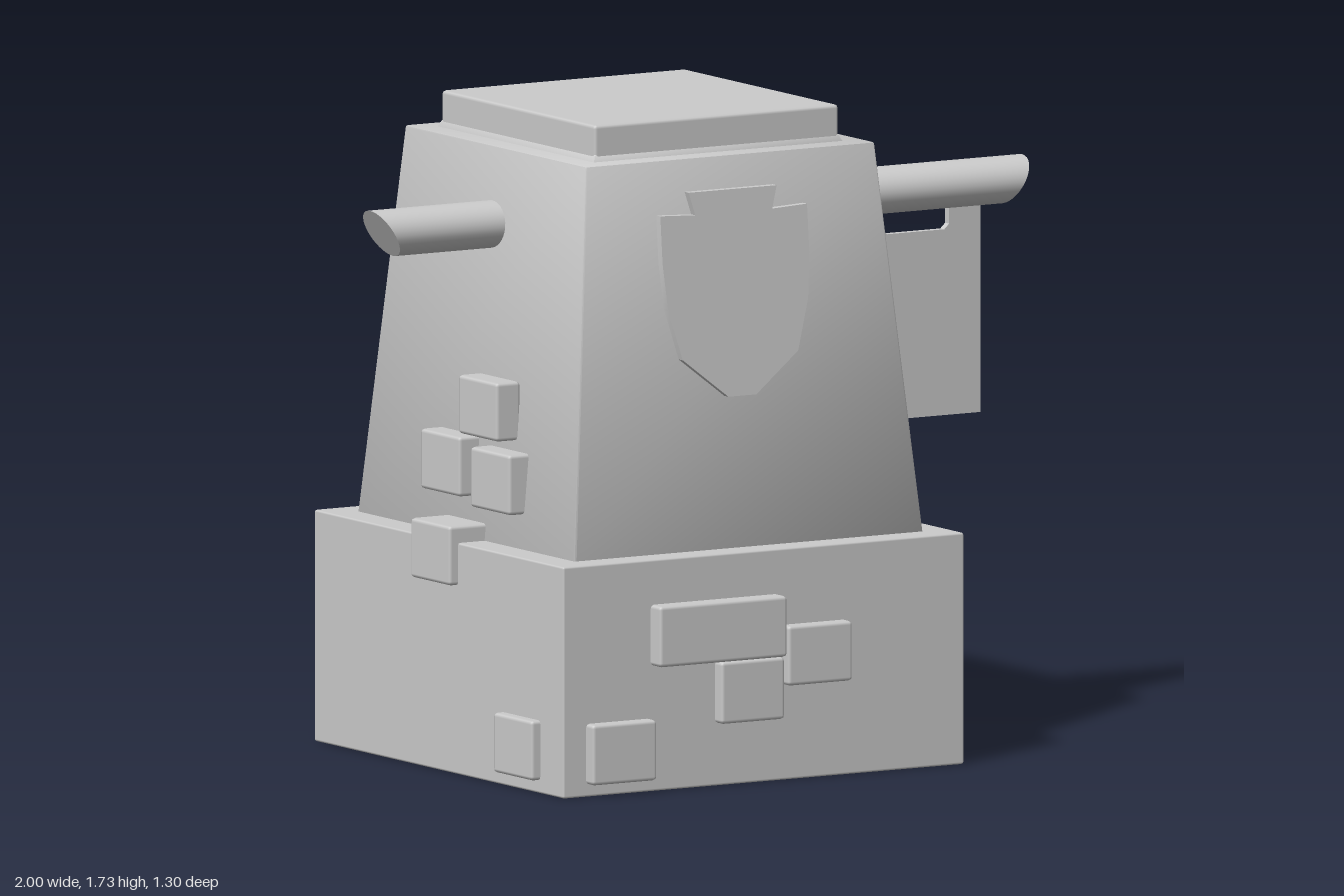
import * as THREE from 'three';
import { RoundedBoxGeometry } from 'three/addons/geometries/RoundedBoxGeometry.js';
import { toCreasedNormals } from 'three/addons/utils/BufferGeometryUtils.js';

const grey = new THREE.MeshStandardMaterial({ color: 0xcccccc });

// Move every vertex by a rule, then rebuild crisp normals
function reshape(geo, rule) {
  const p = geo.attributes.position;
  const v = new THREE.Vector3();
  for (let i = 0; i < p.count; i++) {
    v.fromBufferAttribute(p, i);
    rule(v);
    p.setXYZ(i, v.x, v.y, v.z);
  }
  return toCreasedNormals(geo, 0.6);
}

export function createModel() {
  const tower = new THREE.Group();
  tower.name = 'tower';

  const add = (name, geo, parent = tower) => {
    const mesh = new THREE.Mesh(geo, grey);
    mesh.name = name;
    parent.add(mesh);
    return mesh;
  };

  // Bevelled block between two corners
  const block = (name, x0, x1, y0, y1, z0, z1, parent = tower, bevel = 0.01) => {
    const geo = new RoundedBoxGeometry(x1 - x0, y1 - y0, z1 - z0, 1, bevel);
    add(name, geo, parent).position.set((x0 + x1) / 2, (y0 + y1) / 2, (z0 + z1) / 2);
  };

  // Block tapering from a bottom rectangle to a top one, each [x0, x1, z0, z1]
  const taper = (name, bottom, top, y0, y1, bevel) => {
    const geo = reshape(new RoundedBoxGeometry(1, y1 - y0, 1, 1, bevel), (v) => {
      v.y += (y0 + y1) / 2;
      const t = (v.y - y0) / (y1 - y0);
      const [x0, x1, z0, z1] = bottom.map((b, i) => b + (top[i] - b) * t);
      v.x = x0 + (x1 - x0) * (v.x + 0.5);
      v.z = z0 + (z1 - z0) * (v.z + 0.5);
    });
    add(name, geo);
  };

  // Masonry body
  block('base', -0.785, 0.445, 0, 0.612, -0.65, 0.6, tower, 0.006);
  taper('shaft', [-0.705, 0.367, -0.565, 0.525], [-0.612, 0.273, -0.475, 0.432], 0.6, 1.637, 0.006);
  taper('capSkirt', [-0.555, 0.215, -0.415, 0.375], [-0.543, 0.203, -0.403, 0.363], 1.63, 1.655, 0.002);
  block('cap', -0.545, 0.205, 1.63, 1.733, -0.405, 0.365);

  // Protruding bricks, grouped by wall
  const bricks = new THREE.Group();
  bricks.name = 'bricks';
  tower.add(bricks);

  // Front wall: x0, x1, y0, y1, outer z
  [
    [-0.517, -0.125, 0.332, 0.493, 0.648],
    [-0.115, 0.083, 0.252, 0.41, 0.635],
    [-0.32, -0.125, 0.166, 0.33, 0.635],
    [-0.715, -0.517, 0.033, 0.193, 0.635],
  ].forEach(([x0, x1, y0, y1, z]) => block('frontBrick', x0, x1, y0, y1, 0.56, z, bricks));

  // Left wall: z0, z1, y0, y1, outer x, depth
  [
    [0.085, 0.283, 0.89, 1.048, 0.394, 0.07],
    [0.07, 0.27, 0.703, 0.862, 0.394, 0.07],
    [-0.343, 0.053, 0.768, 0.926, 0.405, 0.07],
    [-0.122, 0.076, 0.5, 0.657, 0.47, 0.13],
    [0.295, 0.49, 0.035, 0.193, 0.47, 0.06],
    [-0.19, 0.008, 0.035, 0.193, 0.47, 0.06],
  ].forEach(([z0, z1, y0, y1, x, d]) => block('leftBrick', x - d, x, y0, y1, z0, z1, bricks));

  // Right wall: z0, z1, y0, y1, outer x, depth
  [
    [0, 0.195, 0.89, 1.045, -0.742, 0.075],
    [0.06, 0.258, 0.703, 0.862, -0.742, 0.075],
    [-0.19, 0.008, 0.722, 0.88, -0.742, 0.075],
    [-0.125, 0.073, 0.5, 0.657, -0.812, 0.13],
    [0.29, 0.485, 0.035, 0.193, -0.812, 0.06],
  ].forEach(([z0, z1, y0, y1, x, d]) => block('rightBrick', x, x + d, y0, y1, z0, z1, bricks));

  // Shield plate leaning with the front wall
  const half = [[0.135, 1.55], [0.118, 1.49], [0.225, 1.495], [0.225, 1.37], [0.215, 1.25], [0.177, 1.115], [0.043, 1.01]];
  const outline = [...half, ...half.map(([x, y]) => [-x, y]).reverse()];
  const shield = new THREE.Shape(outline.map(([x, y]) => new THREE.Vector2(x - 0.18, y)));
  const shieldGeo = new THREE.ExtrudeGeometry(shield, { depth: 0.03, bevelEnabled: false });
  add('shield', reshape(shieldGeo, (v) => {
    v.z += 0.515 - 0.09 * (v.y - 0.612);
  }));

  // Cross pole, slightly oval, with ends cut on a slant
  const poleGeo = new THREE.CylinderGeometry(1, 1, 2, 32).rotateZ(-Math.PI / 2);
  add('pole', reshape(poleGeo, (v) => {
    v.x = Math.sign(v.x) * (0.965 + 0.035 * v.y);
    v.y = 1.433 + 0.062 * v.y;
    v.z = -0.017 + 0.073 * v.z;
  }));

  // Hanging banner with a notch between its two straps
  const banner = new THREE.Shape([
    [0.468, 0.825], [0.866, 0.825], [0.866, 1.42], [0.77, 1.42],
    [0.77, 1.33], [0.755, 1.316], [0.58, 1.316], [0.565, 1.33], [0.565, 1.42], [0.468, 1.42],
  ].map(([x, y]) => new THREE.Vector2(x, y)));
  add('banner', new THREE.ExtrudeGeometry(banner, { depth: 0.02, bevelEnabled: false }).translate(0, 0, -0.027));

  return tower;
}
